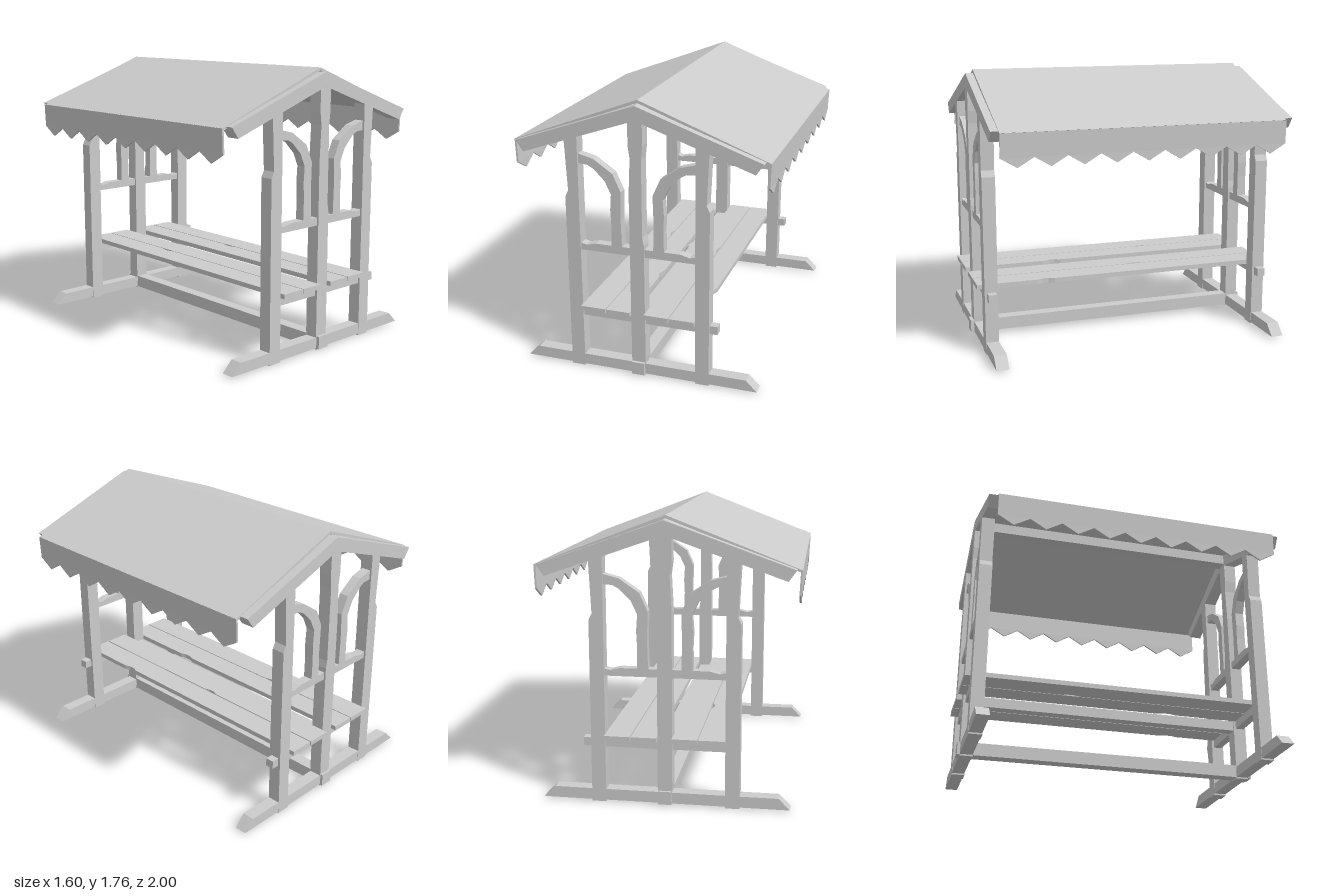
import * as THREE from 'three';

const material = new THREE.MeshStandardMaterial({ color: 0xcccccc, flatShading: true });

function add(parent, name, geometry) {
  const mesh = new THREE.Mesh(geometry, material);
  mesh.name = name;
  parent.add(mesh);
  return mesh;
}

// box from its limits
function box(parent, name, [x0, x1], [y0, y1], [z0, z1]) {
  const mesh = add(parent, name, new THREE.BoxGeometry(x1 - x0, y1 - y0, z1 - z0));
  mesh.position.set((x0 + x1) / 2, (y0 + y1) / 2, (z0 + z1) / 2);
  return mesh;
}

// outline in x/y, extruded from z0 to z1
function slab(parent, name, points, z0, z1) {
  const shape = new THREE.Shape(points.map(([x, y]) => new THREE.Vector2(x, y)));
  const geometry = new THREE.ExtrudeGeometry(shape, { depth: z1 - z0, bevelEnabled: false });
  geometry.translate(0, 0, z0);
  return add(parent, name, geometry);
}

const mirrorX = (points, side) => points.map(([x, y]) => [x * side, y]);

// one end frame, centred on z = 0
function createFrame() {
  const frame = new THREE.Group();
  const h = 0.042;
  slab(frame, 'foot', [[-0.76, 0.01], [0.76, 0.01], [0.69, 0.08], [-0.69, 0.08]], -h + 0.002, h - 0.002);
  slab(frame, 'centrePost', [
    [-0.04, 0], [0.04, 0], [0.045, 0.12], [0.045, 0.88], [0.036, 0.93], [0.036, 1.42], [0.045, 1.5],
    [0.045, 1.72], [0, 1.735], [-0.045, 1.72], [-0.045, 1.5], [-0.034, 1.42], [-0.045, 1.2], [-0.045, 0.12],
  ], -h, h);
  box(frame, 'shelfBearer', [-0.42, 0.505], [0.352, 0.405], [-0.027, 0.027]);
  slab(frame, 'middleRail', [
    [-0.39, 0.8], [0.39, 0.8], [0.37, 0.845], [0.33, 0.835], [0.27, 0.85],
    [-0.27, 0.85], [-0.33, 0.835], [-0.37, 0.845],
  ], -0.03, 0.03);

  for (const side of [-1, 1]) {
    slab(frame, 'outerPost', mirrorX([
      [0.367, 0], [0.455, 0], [0.455, 1.14], [0.435, 1.18], [0.45, 1.51], [0.367, 1.54],
      [0.367, 1.42],
    ], side), -h, h);
    slab(frame, 'rafter', mirrorX([
      [0, 1.65], [0.72, 1.398], [0.768, 1.465], [0, 1.738],
    ], side), -h - 0.001, h + 0.001);
    // curved brace from the outer post down to the middle rail
    slab(frame, 'curvedBrace', mirrorX([
      [0.38, 1.42], [0.27, 1.392], [0.15, 1.31], [0.1, 1.2], [0.105, 1.02], [0.1, 0.845],
      [0.168, 0.845], [0.165, 0.98], [0.17, 1.08], [0.163, 1.18], [0.2, 1.26],
      [0.27, 1.33], [0.31, 1.352], [0.38, 1.357],
    ], side), -0.03, 0.03);
  }
  return frame;
}

export function createModel() {
  const model = new THREE.Group();
  model.name = 'marketStall';

  for (const [name, z] of [['frontFrame', 0.927], ['backFrame', -0.923]]) {
    const frame = createFrame();
    frame.name = name;
    frame.position.z = z;
    model.add(frame);
  }

  // beams running the length of the stall
  box(model, 'groundBeam', [-0.041, 0.041], [0.008, 0.09], [-0.982, 0.99]);
  box(model, 'shelfBeam', [-0.035, 0.035], [0.34, 0.405], [-0.9, 0.9]);
  box(model, 'ridgeBeam', [-0.04, 0.04], [1.65, 1.72], [-0.9, 0.9]);

  // shelf boards, each with a small worn nick on one edge
  const boards = new THREE.Group();
  boards.name = 'shelfBoards';
  model.add(boards);
  for (const [x0, x1, nick] of [[-0.368, -0.206, 0.3], [-0.2, -0.046, -0.4], [0.046, 0.203, 0.1], [0.21, 0.368, -0.55]]) {
    const board = slab(boards, 'shelfBoard', [
      [x0, -1], [x1, -1], [x1, nick - 0.06], [x1 - 0.014, nick - 0.02],
      [x1 - 0.014, nick + 0.02], [x1, nick + 0.06], [x1, 1], [x0, 1],
    ], 0, 0.03);
    board.rotation.x = -Math.PI / 2;
    board.position.y = 0.405;
  }

  // canopy with a scalloped valance down each side
  const canopy = new THREE.Group();
  canopy.name = 'canopy';
  model.add(canopy);
  const zBack = -0.91, zFront = 0.922, teeth = 9;
  slab(canopy, 'roofCover', [
    [-0.797, 1.458], [-0.785, 1.446], [0, 1.744], [0.785, 1.446], [0.797, 1.458], [0, 1.762],
  ], zBack, zFront);

  const edge = [[zFront, 1.457], [zBack, 1.457]];
  const step = (zFront - zBack) / teeth;
  for (let i = 0; i < teeth; i++) {
    edge.push([zBack + i * step, 1.31], [zBack + (i + 0.5) * step, 1.25]);
  }
  edge.push([zFront, 1.31]);
  for (const side of [-1, 1]) {
    // outline drawn along z, then turned to face the side
    const valance = slab(canopy, 'valance', edge.map(([z, y]) => [-z, y]), -0.006, 0.006);
    valance.geometry.rotateY(Math.PI / 2);
    const pos = valance.geometry.attributes.position;
    for (let i = 0; i < pos.count; i++) {
      const drop = Math.min(1, (1.457 - pos.getY(i)) / 0.15);
      pos.setX(i, pos.getX(i) + side * (0.793 - 0.006 * drop));
    }
    valance.geometry.computeVertexNormals();
  }
  return model;
}
